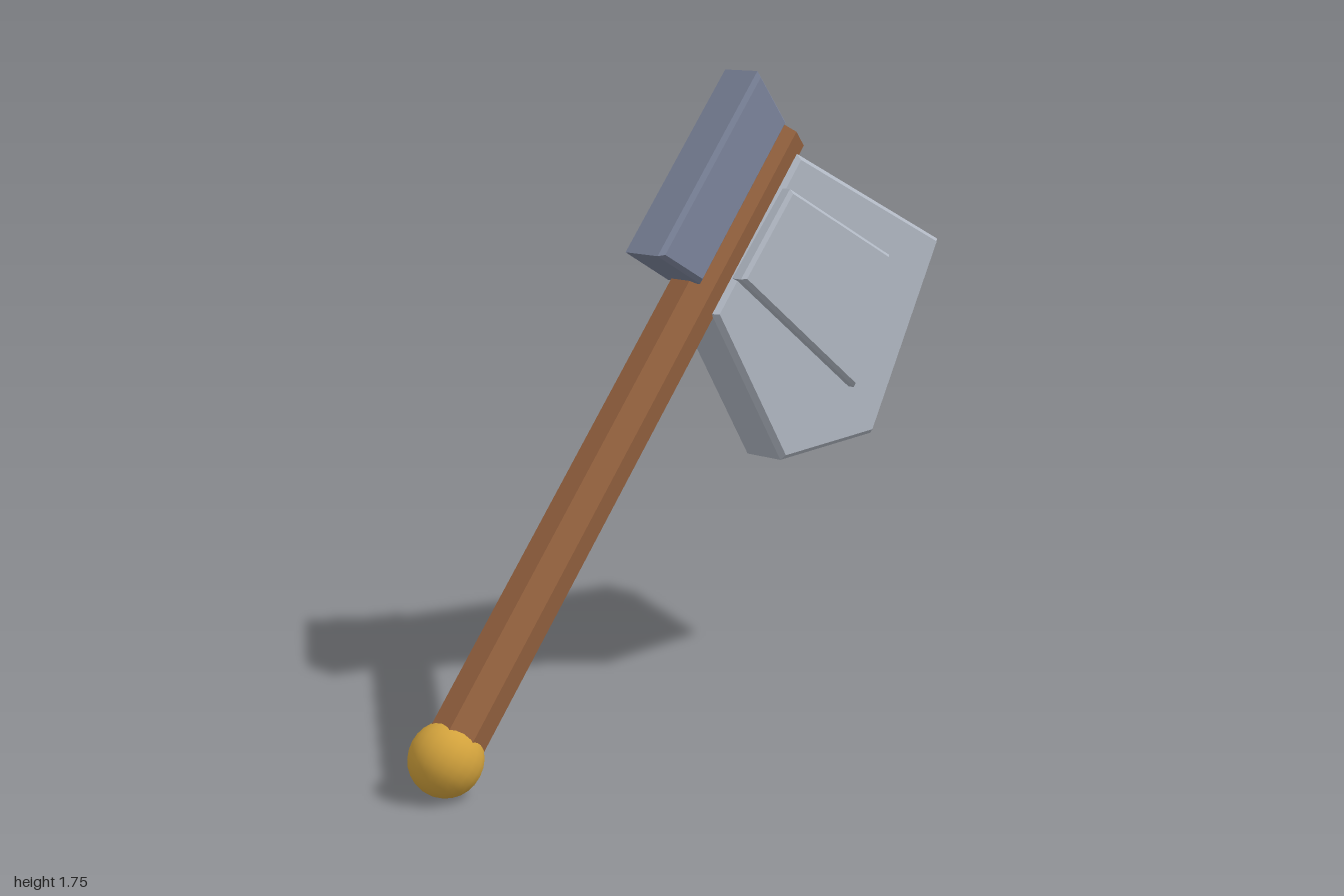
import * as THREE from 'three';

const mat = (name, color, flatShading = true) => {
  const m = new THREE.MeshStandardMaterial({ color, flatShading });
  m.name = name;
  return m;
};

// Flat slab with chamfered rims; the outline includes the chamfer
function slab(name, points, zBack, zFront, bevel, material) {
  const shape = new THREE.Shape(points.map(([x, y]) => new THREE.Vector2(x, y)));
  const geo = new THREE.ExtrudeGeometry(shape, {
    depth: zFront - zBack - 2 * bevel,
    bevelEnabled: true,
    bevelThickness: bevel,
    bevelSize: bevel,
    bevelOffset: -bevel,
    bevelSegments: 1,
  });
  geo.translate(0, 0, zBack + bevel);
  const mesh = new THREE.Mesh(geo, material);
  mesh.name = name;
  return mesh;
}

export function createModel() {
  const group = new THREE.Group();
  group.name = 'axe';

  const wood = mat('wood', 0x95623f);
  const steel = mat('steel', 0xb0b7c2);
  const darkSteel = mat('darkSteel', 0x7b839a);
  const gold = mat('gold', 0xd2a23c, false);

  // Leaning seven-sided handle from the pommel to the head
  const midZ = -0.005;
  const bottom = new THREE.Vector3(-0.905, 0.096, midZ);
  const top = new THREE.Vector3(0.345, 1.57, midZ);
  const lean = Math.atan2(top.x - bottom.x, top.y - bottom.y);
  const handle = new THREE.Mesh(
    new THREE.CylinderGeometry(0.076, 0.076, bottom.distanceTo(top), 7, 1, false, Math.PI / 2),
    wood
  );
  handle.name = 'handle';
  handle.position.addVectors(bottom, top).multiplyScalar(0.5);
  handle.rotation.z = -lean;
  group.add(handle);

  // Round pommel
  const pommel = new THREE.Mesh(new THREE.SphereGeometry(0.096, 20, 14), gold);
  pommel.name = 'pommel';
  pommel.position.copy(bottom);
  pommel.rotation.z = -lean;
  group.add(pommel);

  // Blade, with a raised plate on its front only
  group.add(slab('blade',
    [[0.004, 1.115], [0.29, 0.67], [0.692, 0.685], [0.995, 1.227], [0.348, 1.52]],
    -0.08, 0.07, 0.014, steel));
  group.add(slab('bladePlate',
    [[0.083, 1.203], [0.57, 0.842], [0.724, 1.207], [0.282, 1.43]],
    0.03, 0.1, 0.01, steel));

  // Back block of the head
  group.add(slab('poll',
    [[-0.2, 1.29], [-0.038, 1.2], [0.305, 1.607], [0.188, 1.75]],
    -0.075, 0.065, 0.012, darkSteel));

  return group;
}
